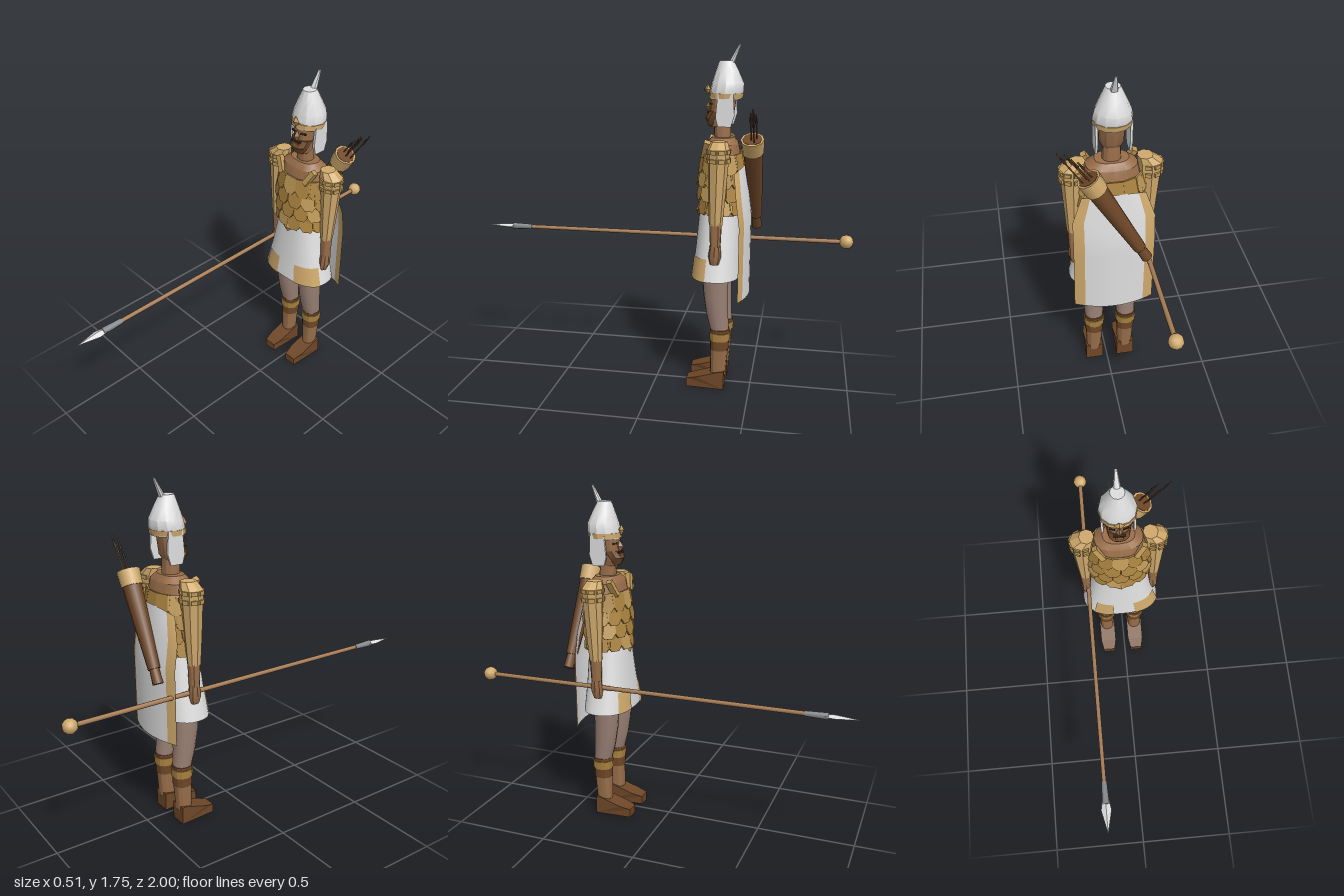
import * as THREE from 'three';
import { toCreasedNormals } from 'three/addons/utils/BufferGeometryUtils.js';

const mat = (name, color, side = THREE.FrontSide) => {
  const m = new THREE.MeshStandardMaterial({ color, side });
  m.name = name;
  return m;
};
const V = (x, y, z) => new THREE.Vector3(x, y, z);

// Stack of rounded cross-sections [y, cx, cz, rx, rz], bottom to top
function loft(sections, { n = 12, e = 2.2, a0 = 0, a1 = Math.PI * 2, caps = true, crease = 0.5 } = {}) {
  const pos = [], idx = [], w = n + 1;
  const power = (v) => Math.sign(v) * Math.abs(v) ** (2 / e);
  for (const [y, cx, cz, rx, rz] of sections)
    for (let i = 0; i <= n; i++) {
      const a = a0 + ((a1 - a0) * i) / n;
      pos.push(cx + rx * power(Math.sin(a)), y, cz + rz * power(Math.cos(a)));
    }
  for (let j = 0; j < sections.length - 1; j++)
    for (let i = 0; i < n; i++) {
      const a = j * w + i, b = a + w;
      idx.push(a, a + 1, b + 1, a, b + 1, b);
    }
  if (caps) {
    const top = (sections.length - 1) * w;
    for (let i = 1; i < n - 1; i++) idx.push(0, i + 1, i, top, top + i, top + i + 1);
  }
  const g = new THREE.BufferGeometry();
  g.setAttribute('position', new THREE.Float32BufferAttribute(pos, 3));
  g.setIndex(idx);
  return toCreasedNormals(g, crease);
}

// Flat outline with a thickness, centred on its own plane
function plate(points, depth) {
  const shape = new THREE.Shape(points.map(([x, y]) => new THREE.Vector2(x, y)));
  return new THREE.ExtrudeGeometry(shape, { depth, bevelEnabled: false }).translate(0, 0, -depth / 2);
}

export function createModel() {
  const white = mat('white cloth', 0xdedede, THREE.DoubleSide);
  const tan = mat('tan cloth', 0xcfa96c, THREE.DoubleSide);
  const gold = mat('gold', 0xa9823f);
  const paleGold = mat('pale gold', 0xbf9a58);
  const skin = mat('skin', 0x996e4a);
  const legging = mat('leggings', 0x998074);
  const brown = mat('brown leather', 0x6e4728);
  const wood = mat('wood', 0xa67c54);
  const steel = mat('steel', 0x85888c);
  const dark = mat('dark', 0x3a281c);

  const model = new THREE.Group();
  const body = new THREE.Group();
  body.name = 'warrior';
  body.position.set(-0.015, 0, -0.33);
  model.add(body);
  const add = (name, geo, material, x = 0, y = 0, z = 0) => {
    const m = new THREE.Mesh(geo, material);
    m.name = name;
    m.position.set(x, y, z);
    body.add(m);
    return m;
  };
  const rod = (name, a, b, ra, rb, material, n = 10) => {
    const d = b.clone().sub(a);
    const m = add(name, new THREE.CylinderGeometry(rb, ra, d.length(), n), material);
    m.position.copy(a).addScaledVector(d, 0.5);
    m.quaternion.setFromUnitVectors(V(0, 1, 0), d.normalize());
    return m;
  };

  // Torso and neck
  add('armourBase', loft([[0.92, 0, 0, 0.135, 0.1], [1.05, 0, 0, 0.147, 0.105], [1.16, 0, 0, 0.15, 0.105],
    [1.215, 0, 0, 0.145, 0.092]], { n: 16, e: 2.5 }), gold);
  add('chest', loft([[1.2, 0, 0, 0.138, 0.09], [1.27, 0, 0, 0.12, 0.078], [1.3, 0, 0, 0.08, 0.055]],
    { n: 16, e: 2.5 }), skin);
  add('neck', loft([[1.28, 0, 0, 0.045, 0.042], [1.38, 0, 0.005, 0.042, 0.042]]), skin);

  // Overlapping armour scales in staggered rows
  const scaleGeo = plate([[-0.039, 0.045], [0.039, 0.045], [0.04, -0.022], [0.02, -0.05], [-0.02, -0.05], [-0.04, -0.022]], 0.009);
  const rows = [[1.18, 0.15, 0.104], [1.112, 0.156, 0.112], [1.043, 0.154, 0.112], [0.974, 0.147, 0.108]];
  rows.forEach(([y, rx, rz], r) => {
    for (let i = 0; i < 12; i++) {
      const a = ((i + (r % 2) / 2) / 12) * Math.PI * 2, s = Math.sin(a), c = Math.cos(a);
      const m = add('armourScale', scaleGeo, (i * 5 + r * 3) % 4 === 0 ? paleGold : gold, rx * s, y, rz * c);
      m.rotation.set(-0.2, Math.atan2(s / rx, c / rz), 0, 'YXZ');
    }
  });
  add('beltDiamond', new THREE.OctahedronGeometry(1).scale(0.035, 0.03, 0.012), paleGold, 0, 0.925, 0.118);

  // Skirt with two trim patches on the hem
  add('skirt', loft([[0.6, 0, 0.015, 0.205, 0.125], [0.75, 0, 0.012, 0.165, 0.112], [0.94, 0, 0.008, 0.128, 0.1]],
    { n: 32, e: 2.4, caps: false, crease: 1 }), white);
  for (const [a0, a1] of [[0.3, 1.3], [-0.75, -0.17]])
    add('skirtPatch', loft([[0.6, 0, 0.015, 0.209, 0.129], [0.71, 0, 0.013, 0.18, 0.119]],
      { n: 8, e: 2.4, a0, a1, caps: false, crease: 1 }), tan);

  // Legs, cuffs and shoes
  for (const s of [-1, 1]) {
    const x = s * 0.083;
    add('thigh', loft([[0.31, x, -0.012, 0.047, 0.047], [0.4, x, 0.003, 0.052, 0.056], [0.5, x, 0.012, 0.057, 0.063],
      [0.68, x, 0.02, 0.06, 0.07]], { crease: 1 }), legging);
    add('shin', loft([[0.07, x, -0.006, 0.038, 0.04], [0.22, x, -0.011, 0.045, 0.046]]), skin);
    add('cuff', loft([[0.21, x, -0.011, 0.047, 0.048], [0.322, x, -0.012, 0.051, 0.051]]), brown);
    add('cuffBand', loft([[0.262, x, -0.012, 0.053, 0.053], [0.305, x, -0.012, 0.055, 0.055]]), gold);
    const shoe = plate([[-0.04, 0], [0.155, 0], [0.155, 0.045], [0.1, 0.06], [-0.015, 0.095], [-0.04, 0.095]], 0.09).rotateY(-Math.PI / 2);
    const p = shoe.attributes.position;
    for (let i = 0; i < p.count; i++) if (p.getZ(i) > 0.12) p.setX(i, p.getX(i) * 0.75);
    shoe.computeVertexNormals();
    add('shoe', shoe, brown, x, 0, 0);
  }

  // Arms, shoulder guards and straps
  for (const s of [-1, 1]) {
    const x = s * 0.18;
    add('sleeve', loft([[0.89, x, 0.008, 0.031, 0.033], [1.05, x, 0.004, 0.043, 0.043], [1.21, x, 0, 0.055, 0.05]], { n: 8, crease: 0.3 }), tan);
    add('shoulder', loft([[1.195, x, 0, 0.056, 0.051], [1.26, x, 0, 0.059, 0.054], [1.295, s * 0.155, 0, 0.037, 0.04]],
      { n: 8, crease: 0.2 }), tan);
    for (const y of [1.208, 1.25])
      for (let i = 0; i < 6; i++) {
        const a = -0.3 + i * 0.75, stud = add('shoulderStud', new THREE.BoxGeometry(0.03, 0.02, 0.01), paleGold,
          x + s * 0.058 * Math.sin(a), y, 0.053 * Math.cos(a));
        stud.rotation.y = s * a;
      }
    add('forearm', loft([[0.78, x, 0.008, 0.024, 0.026], [0.9, x, 0.008, 0.03, 0.031]]), skin);
    add('hand', loft([[0.688, s * 0.176, 0.012, 0.017, 0.022], [0.73, x, 0.01, 0.027, 0.032], [0.79, x, 0.008, 0.024, 0.026]], { n: 8 }), skin);
    const strap = add('strap', new THREE.BoxGeometry(0.028, 0.09, 0.03), paleGold, s * 0.1, 1.248, 0.072);
    strap.rotation.set(-0.25, 0, -s * 0.5);
  }

  // Head, face and beard
  add('head', loft([[1.35, 0, 0.02, 0.042, 0.045], [1.39, 0, 0.008, 0.057, 0.058], [1.51, 0, 0, 0.062, 0.066]]), skin);
  add('beard', loft([[1.355, 0, 0.045, 0.033, 0.028], [1.39, 0, 0.042, 0.053, 0.047], [1.425, 0, 0.02, 0.06, 0.05]]), brown);
  add('mouth', new THREE.BoxGeometry(0.04, 0.008, 0.008), skin, 0, 1.407, 0.081);
  add('moustache', new THREE.BoxGeometry(0.055, 0.009, 0.012), dark, 0, 1.418, 0.073);
  add('nose', new THREE.OctahedronGeometry(1).scale(0.016, 0.032, 0.022), skin, 0, 1.447, 0.068);
  for (const s of [-1, 1]) {
    add('eye', new THREE.BoxGeometry(0.028, 0.008, 0.009), dark, s * 0.032, 1.463, 0.058).rotation.y = s * 0.35;
  }

  // Helmet, crest spike, brow ornament and cheek flaps
  add('helmet', loft([[1.485, 0, -0.01, 0.086, 0.08], [1.525, 0, -0.015, 0.09, 0.083], [1.56, 0, -0.019, 0.083, 0.08],
    [1.62, 0, -0.015, 0.057, 0.057], [1.67, 0, -0.01, 0.034, 0.035]], { n: 12, e: 2 }), white);
  add('helmetBand', loft([[1.49, 0, -0.01, 0.09, 0.084], [1.515, 0, -0.013, 0.092, 0.086]], { e: 2 }), tan);
  add('helmetSpike', loft([[1.66, 0, -0.035, 0.019, 0.016], [1.746, 0, -0.075, 0.007, 0.006]], { n: 8 }), white);
  add('browDiamond', new THREE.OctahedronGeometry(1).scale(0.026, 0.028, 0.016), paleGold, 0, 1.53, 0.08);
  add('browGem', new THREE.OctahedronGeometry(0.009), brown, 0, 1.53, 0.092);
  const flapGeo = plate([[-0.055, 1.515], [-0.062, 1.41], [-0.045, 1.355], [0.018, 1.355], [0.03, 1.4], [0.02, 1.515]].reverse(), 0.012)
    .rotateY(-Math.PI / 2);
  for (const s of [-1, 1]) add('cheekFlap', flapGeo, white, s * 0.077, 0, 0);

  // Cape: curved sheet with a trim along each side
  const capePart = (name, u0, u1, material) => {
    const g = new THREE.PlaneGeometry(1, 1, 8, 10), p = g.attributes.position;
    for (let i = 0; i < p.count; i++) {
      const u = u0 + (u1 - u0) * (p.getX(i) + 0.5), t = 0.5 - p.getY(i);
      const w = 0.195 - 0.045 * Math.max(0, 1 - t / 0.2);
      const drop = 0.035 * u * u * (1 - t);
      p.setXYZ(i, u * w, 1.17 - 0.67 * t - drop, -0.118 - 0.034 * Math.min(1, t * 2.5) + 0.045 * u * u);
    }
    g.computeVertexNormals();
    add(name, g, material);
  };
  capePart('cape', -0.74, 0.74, white);
  capePart('capeTrim', -1, -0.74, tan);
  capePart('capeTrim', 0.74, 1, tan);

  // Quiver and arrows
  const top = V(0.13, 1.305, -0.155), foot = V(-0.145, 0.82, -0.17);
  const along = (t) => foot.clone().lerp(top, t);
  rod('quiverFoot', foot, along(0.15), 0.027, 0.023, brown);
  rod('quiver', along(0.13), along(0.88), 0.03, 0.048, brown);
  rod('quiverCollar', along(0.86), top, 0.053, 0.057, tan);
  rod('quiverMouth', along(0.99), along(1.004), 0.047, 0.047, brown);
  for (const [x, y, z, o] of [[0.265, 1.46, -0.165, 0.02], [0.23, 1.44, -0.15, 0], [0.205, 1.43, -0.175, -0.01], [0.175, 1.4, -0.16, -0.025]]) {
    const tip = V(x, y, z), base = V(0.115 + o, 1.27 - o * 0.4, z);
    rod('arrow', base, tip, 0.0035, 0.0035, brown, 6);
    rod('arrowEnd', tip.clone().lerp(base, 0.28), tip, 0.007, 0.002, dark, 4);
  }

  // Spear held level in the right hand
  const sx = -0.172, sy = 0.745;
  rod('spearShaft', V(sx, sy, -0.62), V(sx, sy, 1.1), 0.012, 0.011, wood);
  add('spearPommel', new THREE.IcosahedronGeometry(0.037, 1), tan, sx, sy, -0.633);
  rod('spearSocket', V(sx, sy, 1.08), V(sx, sy, 1.19), 0.014, 0.018, steel, 8);
  add('spearBlade', loft([[1.16, 0, 0, 0.016, 0.01], [1.22, 0, 0, 0.026, 0.012], [1.33, 0, 0, 0.001, 0.001]],
    { n: 4, e: 2, crease: 0.2 }).rotateX(Math.PI / 2), white, sx, sy, 0);

  return model;
}
